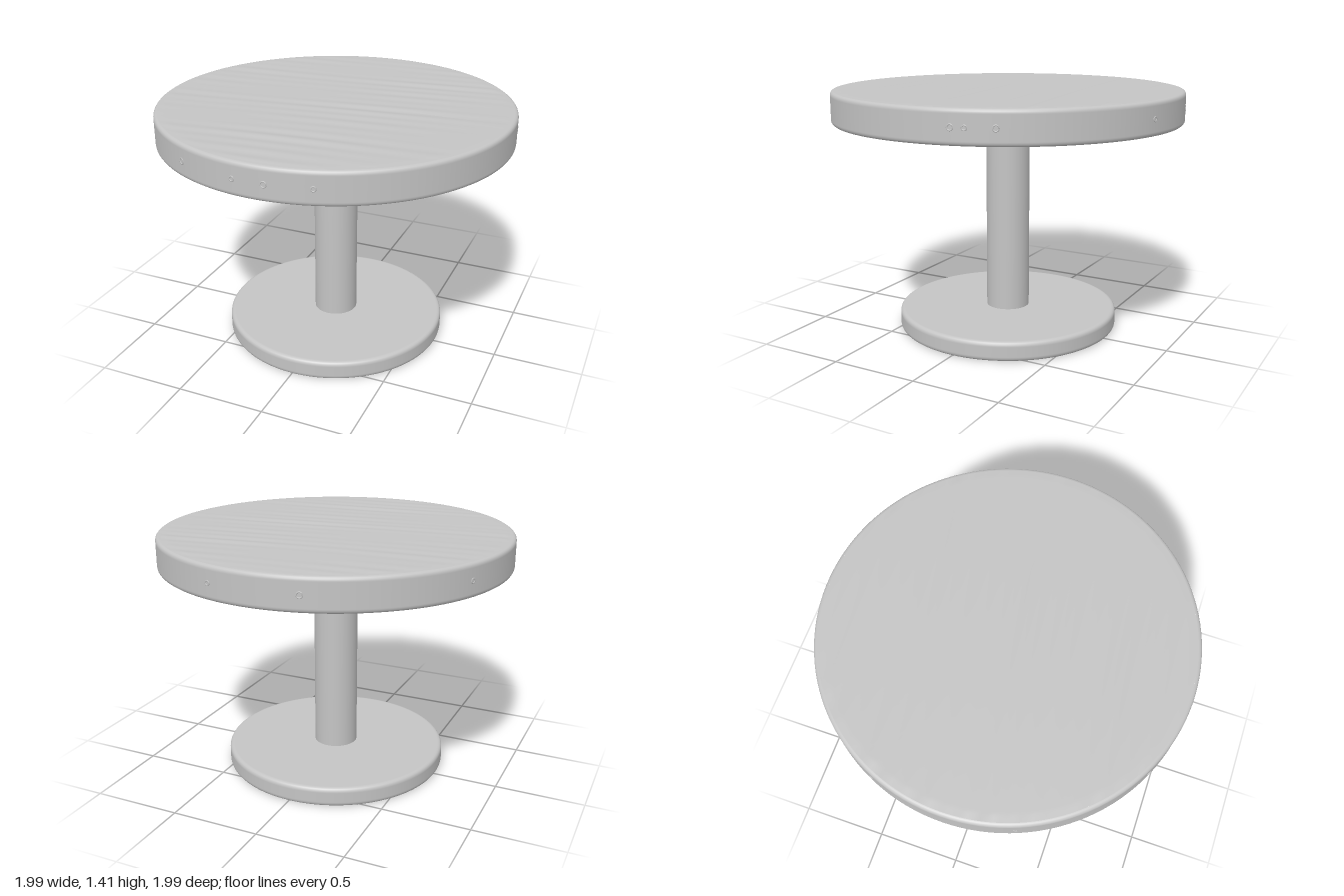
import * as THREE from 'three';

const TOP_Y = 1.4, TOP_R = 0.995;

// Solid round slab with a softly rounded rim; extra points keep the flat faces flat
function slab(r, y0, y1, bevel, capped) {
  const pts = [[0, y0], [r - bevel - 0.005, y0]];
  for (let i = 0; i <= 4; i++) {
    const a = (i / 4) * Math.PI / 2;
    pts.push([r - bevel + bevel * Math.sin(a), y0 + bevel - bevel * Math.cos(a)]);
  }
  pts.push([r, y0 + bevel + 0.005], [r, y1 - bevel - 0.005]);
  for (let i = 0; i <= 4; i++) {
    const a = (i / 4) * Math.PI / 2;
    pts.push([r - bevel + bevel * Math.cos(a), y1 - bevel + bevel * Math.sin(a)]);
  }
  if (capped) pts.push([r - bevel - 0.005, y1], [0, y1]);
  return new THREE.LatheGeometry(pts.map(p => new THREE.Vector2(...p)), 128);
}

// Height of the shallow wood grain, running mostly along x
function grain(x, z) {
  const v = z + 0.1 * x + 0.02 * Math.sin(2.3 * x + 3 * z);
  const patch = 0.5 + 0.5 * Math.sin(3.1 * x + 7 * z) * Math.cos(5 * z - 1.7 * x);
  const lines = Math.sin(v * 62) + 0.6 * Math.sin(v * 39 + 1.5);
  return 0.0022 * lines * patch;
}

export function createModel() {
  const wood = new THREE.MeshStandardMaterial({ color: 0xc4c4c4 });
  wood.name = 'plain grey wood';
  const model = new THREE.Group();
  model.name = 'pedestalTable';
  const add = (name, geometry, parent = model) => {
    const mesh = new THREE.Mesh(geometry, wood);
    mesh.name = name;
    parent.add(mesh);
    return mesh;
  };

  // Base and column
  add('base', slab(0.64, 0, 0.11, 0.022, true));
  const column = new THREE.CylinderGeometry(0.125, 0.125, 1.14, 64, 1, true);
  add('column', column).position.y = 0.66;

  // Tabletop: rim and underside, then a grained upper face
  const tabletop = new THREE.Group();
  tabletop.name = 'tabletop';
  model.add(tabletop);
  add('tabletopBody', slab(TOP_R, 1.22, TOP_Y, 0.02, false), tabletop);

  const faceR = TOP_R - 0.02;
  const face = new THREE.RingGeometry(0, faceR, 192, 90).rotateX(-Math.PI / 2);
  const p = face.attributes.position;
  for (let i = 0; i < p.count; i++) {
    const x = p.getX(i), z = p.getZ(i);
    const fade = Math.min(1, (faceR - Math.hypot(x, z)) / 0.04);
    p.setY(i, TOP_Y + fade * (0.002 + grain(x, z)));
  }
  face.computeVertexNormals();
  add('grainedFace', face, tabletop);

  // Small knots around the rim, nearly flush with it
  const knots = [-1.2, -0.46, -0.11, 0.06, 0.3, 1.8, 1.87, 2.02, 2.9, 3.4, 4.3];
  knots.forEach((a, i) => {
    const knot = add('rimKnot', new THREE.TorusGeometry(0.012 + 0.003 * (i % 2), 0.004, 6, 16), tabletop);
    knot.position.set(Math.sin(a) * (TOP_R - 0.001), 1.31, Math.cos(a) * (TOP_R - 0.001));
    knot.rotation.y = a;
  });

  return model;
}
